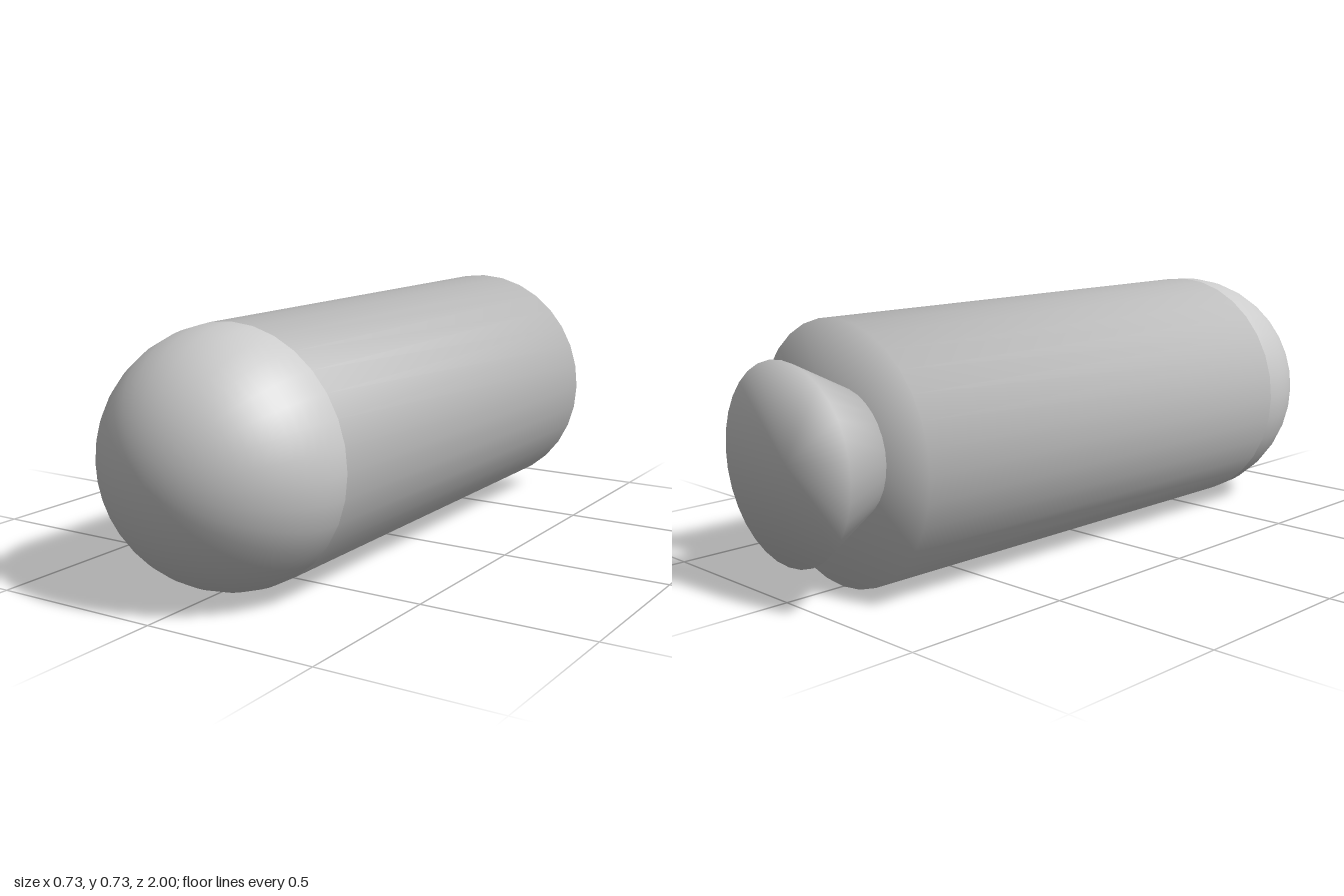
import * as THREE from 'three';

const RADIUS = 0.363;
const AXIS_Y = 0.364;
const SIDES = 32;

// Closed round part along z, with soft shading that rolls over the rims.
function softCylinder(frontRadius, backRadius, frontZ, backZ) {
  const length = frontZ - backZ;
  const slope = (backRadius - frontRadius) / length;
  const geometry = new THREE.CylinderGeometry(frontRadius, backRadius, length, SIDES);
  const { position, normal } = geometry.attributes;
  const n = new THREE.Vector3();
  for (let i = 0; i < position.count; i++) {
    const x = position.getX(i), y = position.getY(i), z = position.getZ(i);
    const r = Math.hypot(x, z);
    if (r < 1e-5) continue; // cap centres stay flat
    n.set(x / r, slope, z / r).normalize();
    n.y += Math.sign(y);
    n.normalize();
    normal.setXYZ(i, n.x, n.y, n.z);
  }
  return geometry.rotateX(Math.PI / 2).translate(0, 0, (frontZ + backZ) / 2);
}

export function createModel() {
  const model = new THREE.Group();
  model.name = 'rocketCapsule';
  const material = new THREE.MeshStandardMaterial({ color: 0xcccccc });

  const add = (name, geometry, x, y) => {
    const mesh = new THREE.Mesh(geometry, material);
    mesh.name = name;
    mesh.position.set(x, y, 0);
    model.add(mesh);
  };

  // Long straight body
  add('body', softCylinder(RADIUS, RADIUS, 0.637, -0.818), 0, AXIS_Y);

  // Hemispherical nose
  const nose = new THREE.SphereGeometry(RADIUS, SIDES, 16, 0, Math.PI * 2, 0, Math.PI / 2);
  add('noseDome', nose.rotateX(Math.PI / 2).translate(0, 0, 0.637), 0, AXIS_Y);

  // Flared nozzle at the back, set slightly off the axis
  add('nozzle', softCylinder(0.18, 0.27, -0.818, -1), -0.016, 0.37);

  return model;
}
